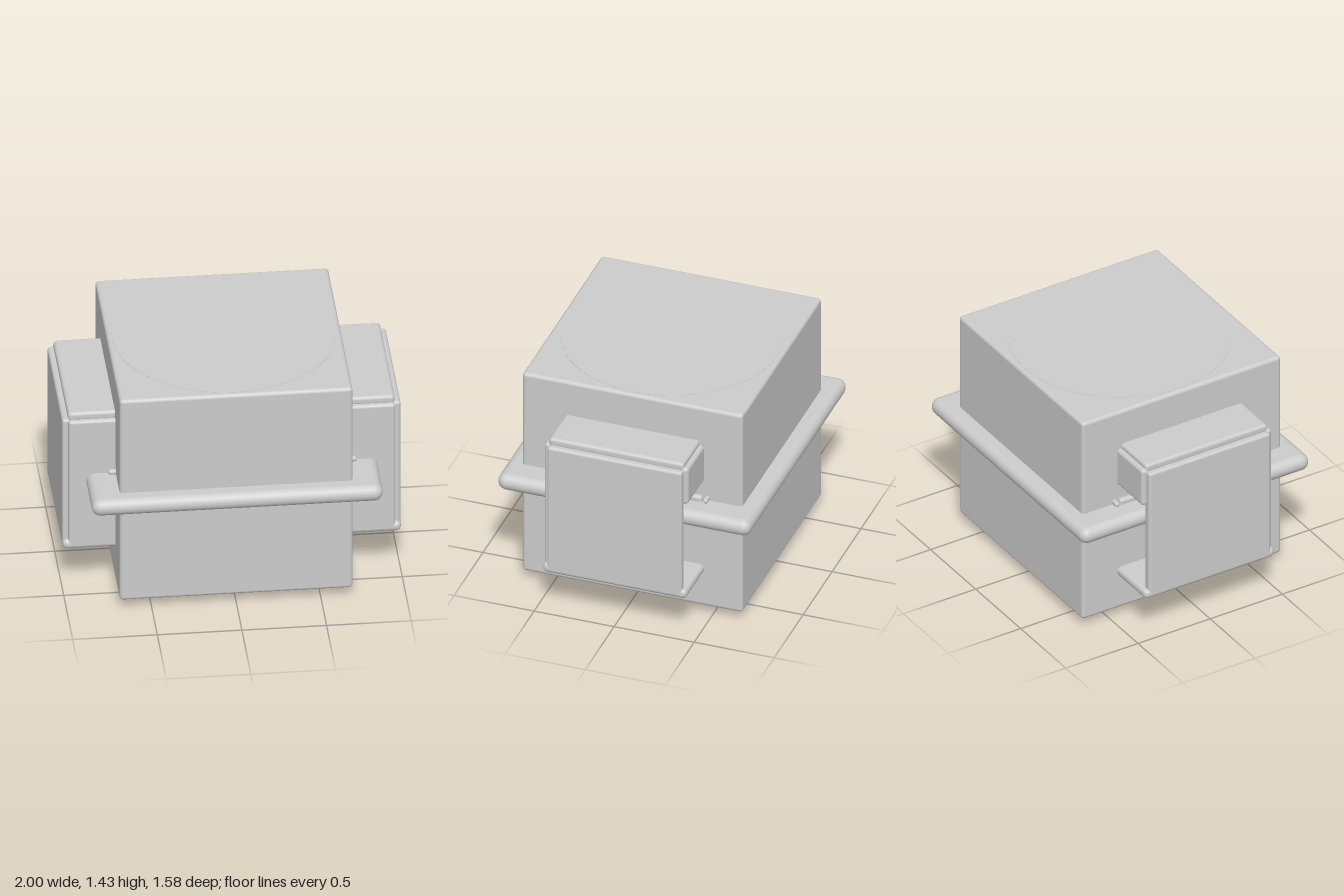
import * as THREE from 'three';
import { RoundedBoxGeometry } from 'three/addons/geometries/RoundedBoxGeometry.js';

export function createModel() {
  const model = new THREE.Group();
  model.name = 'thrusterBlock';
  const grey = new THREE.MeshStandardMaterial({ color: 0xcccccc });
  grey.name = 'plain grey';

  const add = (parent, name, geometry, x = 0, y = 0, z = 0) => {
    const mesh = new THREE.Mesh(geometry, grey);
    mesh.name = name;
    mesh.position.set(x, y, z);
    parent.add(mesh);
    return mesh;
  };

  // Rounded box given by its limits along each axis
  const block = (parent, name, [x0, x1], [y0, y1], [z0, z1], radius) =>
    add(parent, name, new RoundedBoxGeometry(x1 - x0, y1 - y0, z1 - z0, 4, radius),
      (x0 + x1) / 2, (y0 + y1) / 2, (z0 + z1) / 2);

  // Main body and the bumper round its waist
  block(model, 'body', [-0.688, 0.688], [0.055, 1.43], [-0.688, 0.688], 0.022);
  block(model, 'bumper', [-0.86, 0.86], [0.69, 0.797], [-0.79, 0.79], 0.053);

  // Flush round intake on top
  add(model, 'intakeDisc', new THREE.CylinderGeometry(0.66, 0.66, 0.004, 48), 0, 1.43, 0);

  // Flush fan underneath
  const fan = new THREE.Group();
  fan.name = 'fan';
  fan.position.y = 0.055;
  model.add(fan);
  const blades = 10;
  for (let i = 0; i < blades; i++) {
    const start = (i / blades) * Math.PI * 2;
    add(fan, 'fanBlade', new THREE.CylinderGeometry(0.38, 0.38, 0.006, 6, 1, false, start, Math.PI / blades));
  }

  // Two pointed feet in the middle of the underside
  const footProfile = [[0, 0], [0.018, 0.012], [0.038, 0.026], [0.046, 0.045], [0.042, 0.07], [0, 0.09]]
    .map(([r, y]) => new THREE.Vector2(r, y));
  for (const z of [0.085, -0.08]) {
    const foot = add(model, 'foot', new THREE.LatheGeometry(footProfile, 24), -0.045, 0, z);
    foot.scale.x = 1.2;
  }

  // Small beads on the underside
  for (const z of [0.25, -0.25]) {
    add(model, 'bead', new THREE.SphereGeometry(0.012, 12, 8), 0, 0.055, z);
  }

  // Side pods, each a shell that is open at the lower back
  for (const side of [1, -1]) {
    const pod = new THREE.Group();
    pod.name = side > 0 ? 'leftPod' : 'rightPod';
    model.add(pod);
    const span = (a, b) => (side > 0 ? [a, b] : [-b, -a]);
    block(pod, 'podOuterWall', span(0.945, 1), [0.30, 1.157], [-0.42, 0.422], 0.018);
    block(pod, 'podFrontWall', span(0.66, 0.965), [0.30, 1.157], [0.395, 0.45], 0.018);
    block(pod, 'podTop', span(0.66, 0.965), [1.145, 1.2], [-0.42, 0.422], 0.02);
    block(pod, 'podFloor', span(0.66, 1), [0.28, 0.342], [-0.448, 0.45], 0.028);
    block(pod, 'podBackLip', span(0.66, 0.965), [0.92, 1.17], [-0.448, -0.395], 0.022);

    // Hinge rod inside the pod with a stud at either end
    block(pod, 'hingeRod', span(0.68, 0.722), [0.785, 0.83], [-0.446, 0.4], 0.018);
    for (const z of [0.468, -0.47]) {
      const stud = add(pod, 'hingeStud', new THREE.CapsuleGeometry(0.017, 0.03, 4, 12), side * 0.705, 0.813, z);
      stud.rotation.z = Math.PI / 2;
    }
  }
  return model;
}
